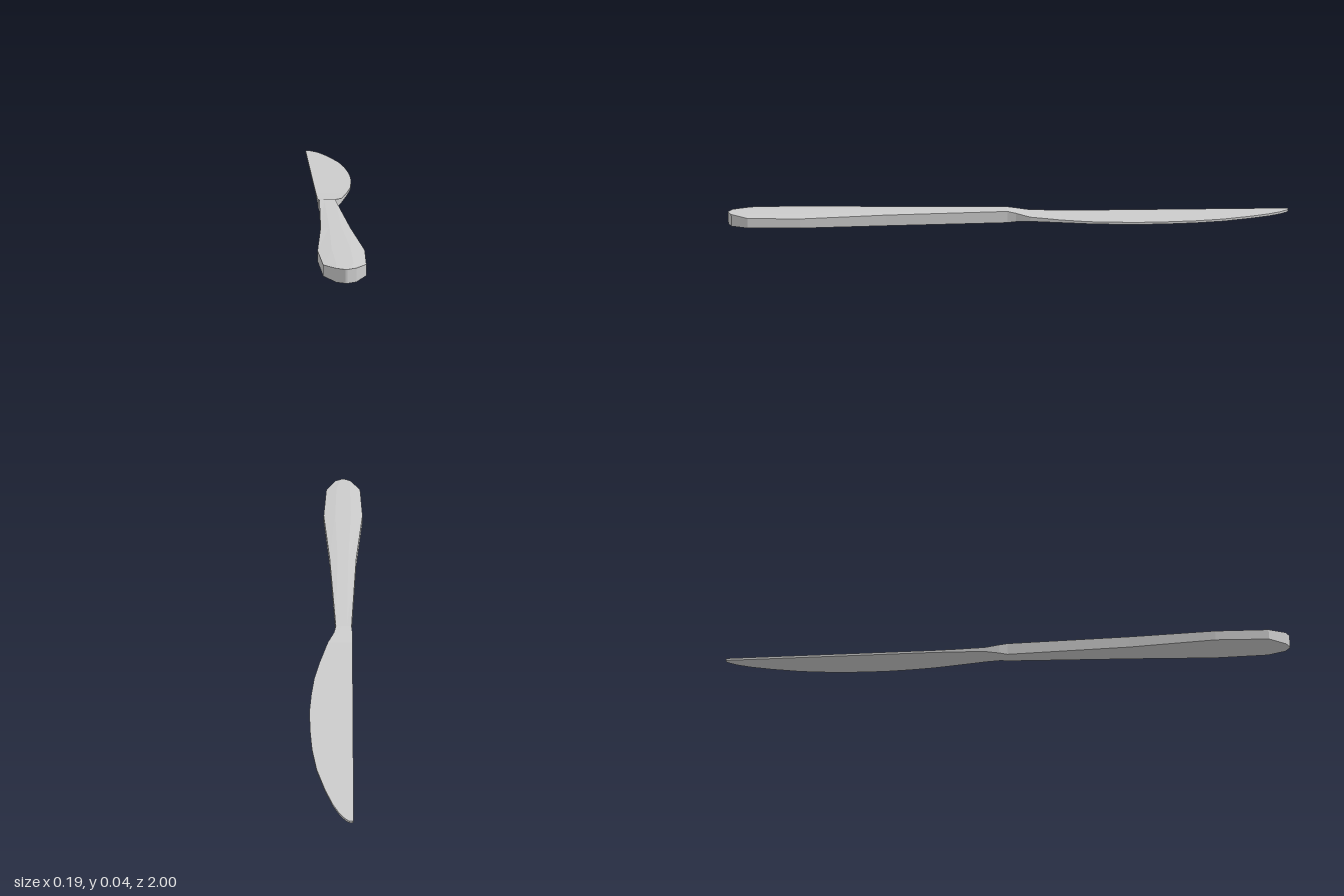
import * as THREE from 'three';

const MID_Y = 0.024;
const COLUMNS = [-1, -0.4, 0.4, 1];

// Skin a row of stations [z, leftX, rightX, halfThickness], ordered front to back.
function loft(stations, capFront, capBack) {
  const positions = [], index = [], n = COLUMNS.length * 2;
  for (const [z, x0, x1, half] of stations) {
    const centre = (x0 + x1) / 2, reach = (x1 - x0) / 2;
    const ring = COLUMNS.map((t) => {
      // broad sections thin slightly towards their edges
      const drop = half > 0.015 ? Math.max(0, Math.abs(t * reach) - 0.03) * 0.11 : 0;
      return [centre + t * reach, half - drop];
    });
    for (const [x, h] of ring) positions.push(x, MID_Y + h, z);
    for (const [x, h] of ring.reverse()) positions.push(x, MID_Y - h, z);
  }
  for (let i = 0; i < stations.length - 1; i++) {
    for (let j = 0; j < n; j++) {
      const a = i * n + j, b = i * n + (j + 1) % n;
      index.push(a, b, b + n, a, b + n, a + n);
    }
  }
  const last = (stations.length - 1) * n;
  for (let j = 1; j < n - 1; j++) {
    if (capFront) index.push(0, j + 1, j);
    if (capBack) index.push(last, last + j, last + j + 1);
  }
  const geometry = new THREE.BufferGeometry();
  geometry.setAttribute('position', new THREE.Float32BufferAttribute(positions, 3));
  geometry.setIndex(index);
  const flat = geometry.toNonIndexed();
  flat.computeVertexNormals();
  return flat;
}

export function createModel() {
  const group = new THREE.Group();
  group.name = 'tableKnife';
  const material = new THREE.MeshStandardMaterial({ color: 0xcccccc, flatShading: true });

  const addPart = (name, geometry) => {
    const mesh = new THREE.Mesh(geometry, material);
    mesh.name = name;
    group.add(mesh);
  };

  // Handle: rounded butt, widest near the end, narrowing to the neck
  addPart('handle', loft([
    [1.0, -0.023, -0.017, 0.022],
    [0.985, -0.05, 0.011, 0.022],
    [0.925, -0.087, 0.046, 0.022],
    [0.74, -0.095, 0.055, 0.022],
    [0.44, -0.069, 0.03, 0.022],
    [0.01, -0.05, 0.006, 0.021],
  ], true, false));

  // Neck: drops quickly from handle thickness to blade thickness
  addPart('neck', loft([
    [0.01, -0.05, 0.006, 0.021],
    [-0.02, -0.053, 0.012, 0.016],
    [-0.07, -0.053, 0.034, 0.008],
    [-0.18, -0.053, 0.061, 0.005],
  ], false, false));

  // Blade: straight spine on one side, curved belly on the other
  addPart('blade', loft([
    [-0.18, -0.053, 0.061, 0.005],
    [-0.27, -0.053, 0.079, 0.004],
    [-0.36, -0.053, 0.088, 0.004],
    [-0.45, -0.053, 0.093, 0.004],
    [-0.55, -0.053, 0.09, 0.004],
    [-0.65, -0.053, 0.082, 0.004],
    [-0.75, -0.053, 0.066, 0.004],
    [-0.85, -0.053, 0.038, 0.004],
    [-0.92, -0.053, 0.013, 0.004],
    [-0.965, -0.053, -0.009, 0.004],
    [-0.99, -0.053, -0.028, 0.004],
    [-1.0, -0.051, -0.04, 0.004],
  ], false, true));

  return group;
}
